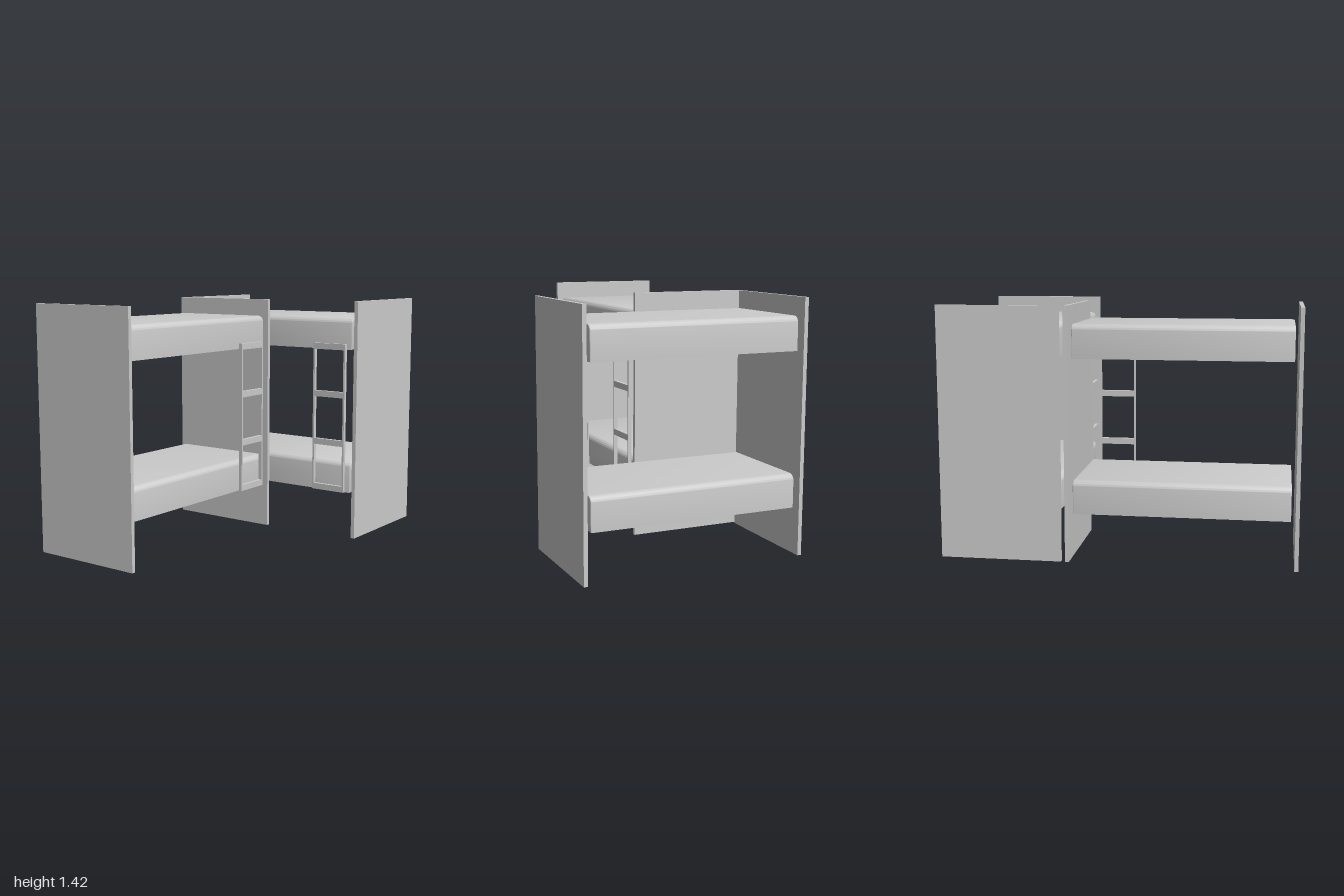
import * as THREE from 'three';
import { toCreasedNormals } from 'three/addons/utils/BufferGeometryUtils.js';

const material = new THREE.MeshStandardMaterial({ color: 0xcccccc });
const HEIGHT = 1.425, DEPTH = 0.69;
const TIERS = [0.272, 1.137];

function addMesh(parent, name, geometry, x, y, z) {
  const mesh = new THREE.Mesh(geometry, material);
  mesh.name = name;
  mesh.position.set(x, y, z);
  parent.add(mesh);
  return mesh;
}

// Mattress: square bottom, rounded long top edges, softly bevelled ends; runs along x
function mattressGeometry(length, width, height) {
  const b = 0.005, r = 0.032;
  const w = width / 2 - b, h = height - b;
  const s = new THREE.Shape();
  s.moveTo(-w, b);
  s.lineTo(w, b);
  s.lineTo(w, h - r);
  s.absarc(w - r, h - r, r, 0, Math.PI / 2, false);
  s.lineTo(-w + r, h);
  s.absarc(-w + r, h - r, r, Math.PI / 2, Math.PI, false);
  s.closePath();
  const g = new THREE.ExtrudeGeometry(s, {
    depth: length - 2 * b, curveSegments: 8,
    bevelEnabled: true, bevelSize: b, bevelThickness: b, bevelSegments: 3,
  });
  g.translate(0, 0, -length / 2 + b);
  g.rotateY(Math.PI / 2);
  return toCreasedNormals(g, 0.6);
}

// Ladder: flat frame with three openings, facing +z
function ladderGeometry(depth) {
  const w = 0.11, rail = 0.011;
  const s = new THREE.Shape();
  s.moveTo(-w, 0.272);
  s.lineTo(w, 0.272);
  s.lineTo(w, 1.17);
  s.lineTo(-w, 1.17);
  s.closePath();
  for (const [y0, y1] of [[0.308, 0.552], [0.588, 0.846], [0.882, 1.134]]) {
    const hole = new THREE.Path();
    hole.moveTo(-w + rail, y0);
    hole.lineTo(-w + rail, y1);
    hole.lineTo(w - rail, y1);
    hole.lineTo(w - rail, y0);
    hole.closePath();
    s.holes.push(hole);
  }
  return new THREE.ExtrudeGeometry(s, { depth, bevelEnabled: false });
}

// Bunk bed lying along x, with its ladder on the +z side
function bunkBed(name, { panelX, thickness, mattressX, ladderX, ladderZ }) {
  const bed = new THREE.Group();
  bed.name = name;
  const panel = new THREE.BoxGeometry(thickness, HEIGHT, DEPTH);
  panelX.forEach((x, i) => addMesh(bed, i ? 'footPanel' : 'headPanel', panel, x, HEIGHT / 2, 0));
  const mattress = mattressGeometry(1.2, 0.65, 0.188);
  TIERS.forEach((y, i) => addMesh(bed, i ? 'upperMattress' : 'lowerMattress', mattress, mattressX, y, 0));
  addMesh(bed, 'ladder', ladderGeometry(0.022), ladderX, 0, ladderZ);
  return bed;
}

export function createModel() {
  const model = new THREE.Group();
  model.name = 'cornerBunkBeds';

  // Bed across the back
  const back = bunkBed('backBunk', {
    panelX: [-0.636, 0.636], thickness: 0.023, mattressX: 0, ladderX: 0.455, ladderZ: 0.323,
  });
  back.position.set(0, 0, -0.656);

  // Bed running forward, turned a quarter so its ladder faces +x
  const side = bunkBed('sideBunk', {
    panelX: [-0.989, 0.277], thickness: 0.022, mattressX: -0.355, ladderX: 0.096, ladderZ: 0.328,
  });
  side.rotation.y = Math.PI / 2;
  side.position.set(-0.304, 0, 0);

  model.add(back, side);
  return model;
}
